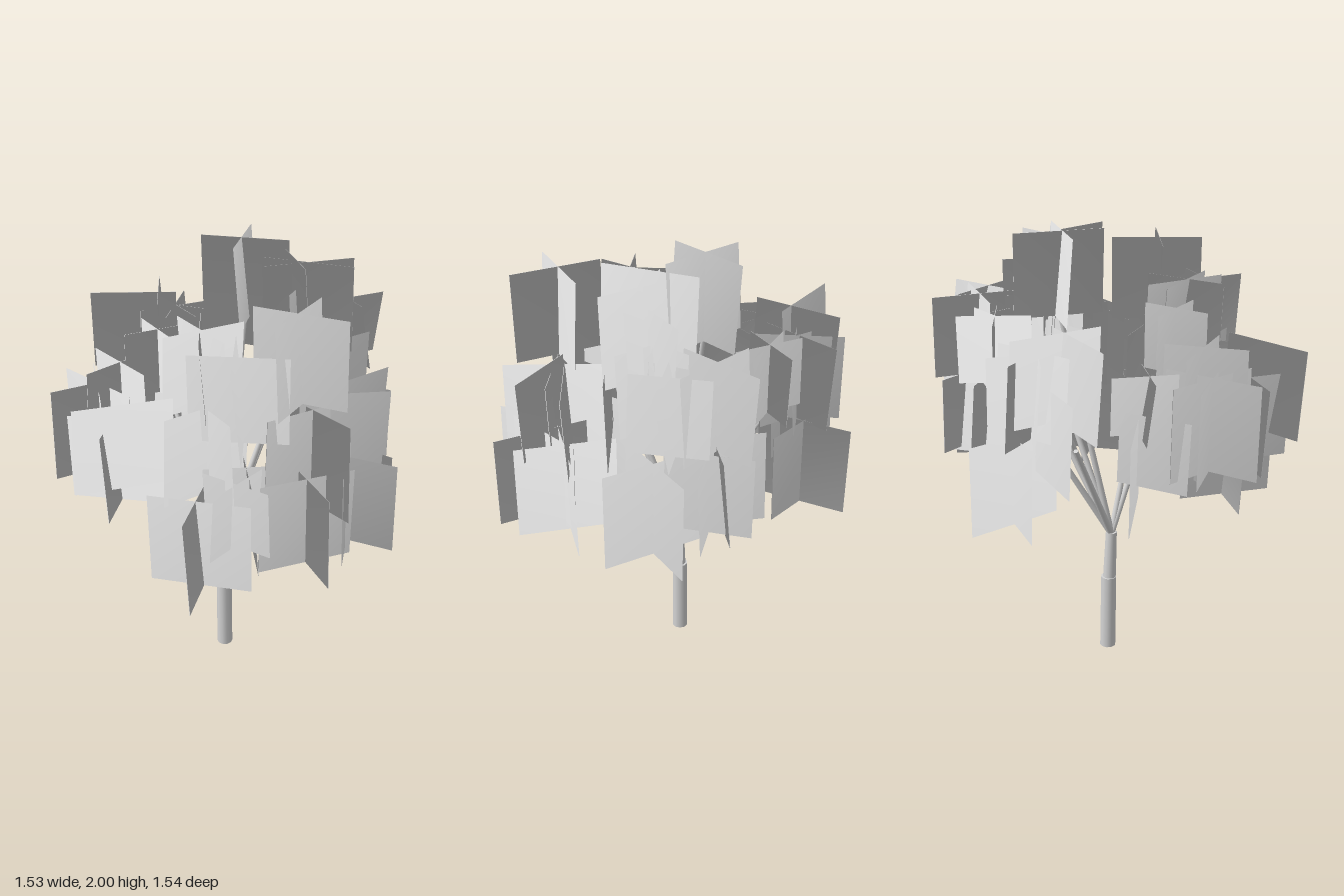
import * as THREE from 'three';

export function createModel() {
  const tree = new THREE.Group();
  const grey = new THREE.MeshStandardMaterial({ color: 0xd4d4d4 });
  grey.name = 'light grey';

  const add = (name, geometry) => {
    const mesh = new THREE.Mesh(geometry, grey);
    mesh.name = name;
    tree.add(mesh);
    return mesh;
  };

  // Tapered round limb between two points
  const limb = (name, from, to, r0, r1) => {
    const a = new THREE.Vector3(...from), b = new THREE.Vector3(...to);
    const dir = b.clone().sub(a);
    const mesh = add(name, new THREE.CylinderGeometry(r1, r0, dir.length(), 10));
    mesh.position.copy(a).add(b).multiplyScalar(0.5);
    mesh.quaternion.setFromUnitVectors(new THREE.Vector3(0, 1, 0), dir.normalize());
  };

  // Trunk in two steps, then branches fanning out of its top
  limb('lowerTrunk', [-0.057, 0, -0.03], [-0.057, 0.37, -0.025], 0.037, 0.036);
  limb('upperTrunk', [-0.057, 0.35, -0.022], [-0.055, 0.6, -0.012], 0.031, 0.026);
  const fork = [-0.055, 0.59, -0.012];
  const tips = [
    [-0.37, 1.15, -0.22], [-0.34, 1.3, -0.28], [-0.08, 1.3, -0.42], [-0.02, 1.65, -0.23],
    [0.16, 1.35, -0.35], [0.2, 1.5, -0.28], [0.1, 1.2, 0.14], [0.14, 1.4, 0.3],
  ];
  for (const tip of tips) limb('branch', fork, tip, 0.015, 0.01);

  // Foliage card: a very thin sheet, turned in plan and leaning slightly.
  // Its soft normals point up and out of the crown, steeper towards the top.
  const card = (x, z, top, size, lean, degrees) => {
    const height = size * 0.95;
    const g = new THREE.BoxGeometry(size, height, 0.002);
    g.rotateX(Math.asin(lean / height));
    g.rotateY(-THREE.MathUtils.degToRad(degrees));
    const y = top - height / 2;
    const rise = Math.hypot(x, z) * (0.5 + 0.6 * (y - 0.9));
    const outward = new THREE.Vector3(x, rise, z);
    const { position, normal } = g.attributes;
    const n = new THREE.Vector3();
    for (let i = 0; i < position.count; i++) {
      n.fromBufferAttribute(position, i).multiplyScalar(0.2).add(outward).normalize();
      normal.setXYZ(i, n.x, n.y, n.z);
    }
    add('foliageCard', g).position.set(x, y, z);
  };
  // Several cards crossing at one centre
  const star = (x, z, top, size, lean, ...angles) => {
    for (const angle of angles) card(x, z, top, size, lean, angle);
  };

  // Crown
  star(-0.02, -0.23, 2.0, 0.39, 0.03, -5, 84);
  star(0.215, -0.17, 1.96, 0.42, 0.03, 58);
  star(0.265, -0.22, 1.92, 0.41, 0.025, 3, -35);
  star(0.26, -0.24, 1.82, 0.4, 0.025, 95);
  star(0.24, -0.26, 1.68, 0.38, 0.03, 0, 75, -50);
  star(0.37, 0.28, 1.87, 0.41, 0.02, 101, 8);

  // Back right
  star(-0.565, -0.25, 1.69, 0.39, 0.03, -20);
  star(-0.45, -0.31, 1.69, 0.4, 0.03, 70);
  star(-0.4, -0.39, 1.6, 0.39, 0.03, 82, 3, -44, 41);
  star(-0.46, -0.34, 1.45, 0.41, 0.02, -16);
  star(-0.38, -0.48, 1.24, 0.42, 0.01, 63, -13);
  star(-0.13, -0.52, 1.68, 0.31, 0.01, 98, 9, -28);

  // Back left
  star(0.17, -0.57, 1.7, 0.39, 0.03, 80, -10);
  star(0.14, -0.54, 1.35, 0.41, 0.035, -64, 25);
  star(0.23, -0.6, 1.33, 0.37, 0.015, -42, 50);
  star(0.38, -0.54, 1.68, 0.33, 0.06, -44, 47);
  star(0.395, -0.455, 1.28, 0.45, 0.004, 94, 6);
  star(0.2, -0.42, 1.62, 0.36, 0.025, -45, 60);

  // Left
  star(0.53, -0.02, 1.5, 0.38, 0.02, -56);
  star(0.53, 0.15, 1.5, 0.38, 0.02, -25);
  star(0.56, 0.15, 1.21, 0.43, 0.01, 82, 8);
  star(0.53, 0.0, 1.2, 0.44, 0.012, 22, -68);
  star(0.4, -0.14, 1.6, 0.42, 0.01, -54);
  star(0.42, 0.24, 1.45, 0.46, 0.015, 34, -50);
  star(0.43, 0.34, 1.18, 0.43, 0.01, 50, -40);

  // Front
  star(0.16, 0.43, 1.725, 0.41, 0.04, -12, 75);
  star(-0.03, 0.31, 1.77, 0.37, 0.025, 40, -48, 72);
  star(0.03, 0.55, 1.12, 0.44, 0.025, 85, -4);
  star(0.18, 0.52, 1.21, 0.32, 0.02, -70, 17);
  star(0.18, 0.34, 1.2, 0.43, 0.03, 66, -24);
  star(0.02, 0.42, 1.48, 0.42, 0.02, -55, 42);

  // Front right
  star(-0.26, 0.22, 1.71, 0.3, 0.004, 42, -45);
  star(-0.265, 0.61, 1.54, 0.41, 0.035, -36);
  star(-0.34, 0.515, 1.42, 0.4, 0.02, -8, 82);
  star(-0.5, 0.32, 1.48, 0.43, 0.008, 28, 62, -48);
  star(-0.4, 0.3, 1.58, 0.38, 0.012, -65, 35);
  star(-0.41, 0.06, 1.48, 0.28, 0.035, 0, 90);
  star(-0.5, 0.08, 1.32, 0.32, 0.03, -52);
  star(-0.56, -0.01, 1.3, 0.4, 0.006, 17);

  return tree;
}
